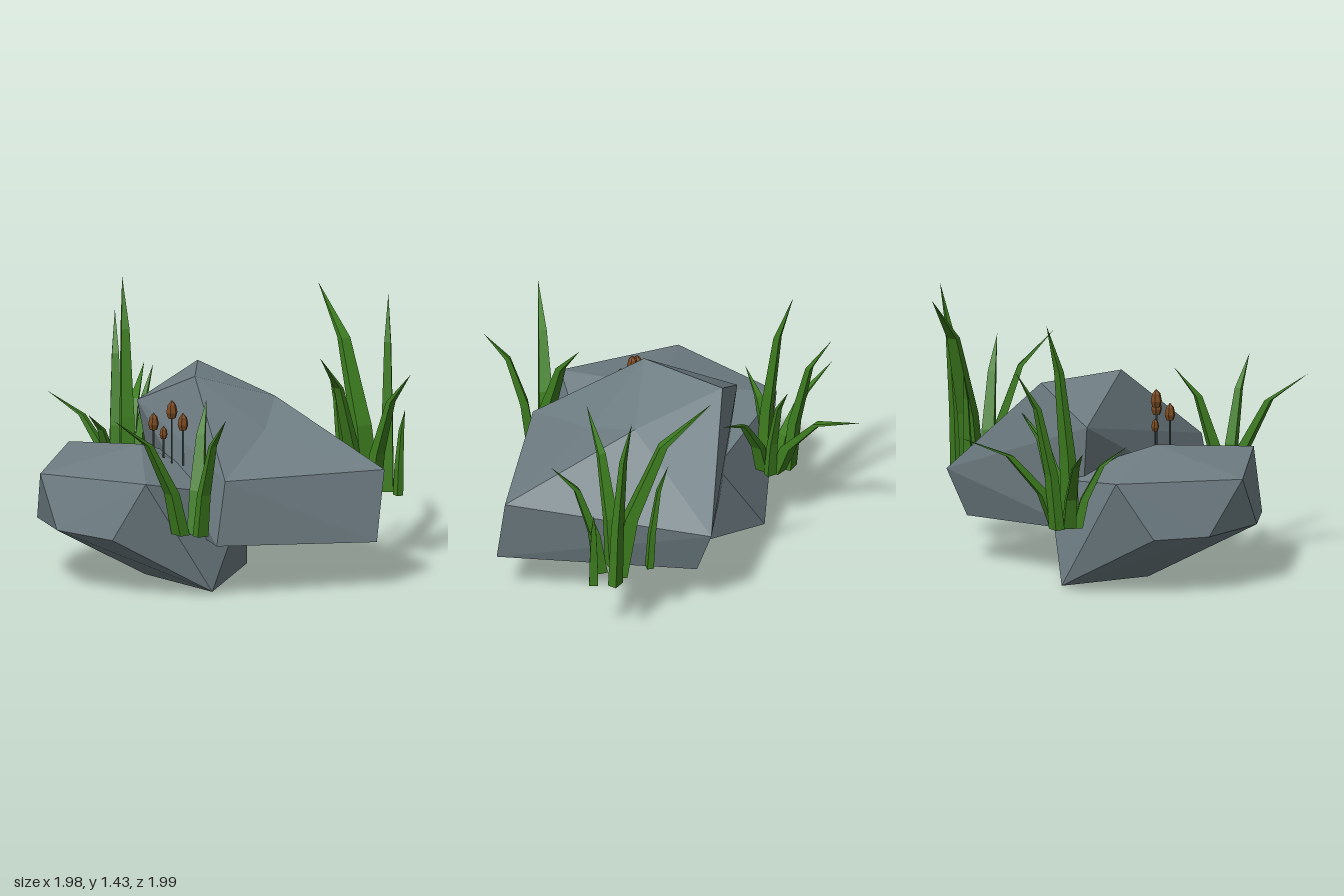
import * as THREE from 'three';
import { ConvexGeometry } from 'three/addons/geometries/ConvexGeometry.js';
import { mergeGeometries } from 'three/addons/utils/BufferGeometryUtils.js';

const flat = (name, color) => {
  const m = new THREE.MeshStandardMaterial({ color, flatShading: true });
  m.name = name;
  return m;
};

export function createModel() {
  const model = new THREE.Group();
  model.name = 'rocksWithReeds';
  const stone = flat('stone grey', 0x6f7e84);
  const green = flat('grass green', 0x3d7d1f);
  const brown = flat('reed brown', 0x7a4a20);
  const stalk = flat('stalk grey green', 0x4a5652);

  const add = (parent, name, geometry, material) => {
    const mesh = new THREE.Mesh(geometry, material);
    mesh.name = name;
    parent.add(mesh);
    return mesh;
  };

  // A boulder part is the convex hull of its corner points
  const hull = points => new ConvexGeometry(points.map(p => new THREE.Vector3(...p)));

  add(model, 'lowBoulder', hull([
    [-0.33, 0.70, 0.16], [-0.81, 0.61, -0.19], [-0.78, 0.59, 0.50], [-0.15, 0.62, 0.735],
    [-0.18, 0.52, -0.38], [0.23, 0.45, 0.14],
    [-0.86, 0.31, 0.00], [-0.85, 0.31, 0.30], [-0.66, 0.32, 0.61], [-0.33, 0.31, 0.73],
    [-0.51, 0.02, -0.40], [0.15, 0.02, -0.18], [0.15, 0.02, 0.52], [-0.32, 0, 0.12],
  ]), stone);

  // The high boulder is two hulls meeting at a dent in its front slope
  const apex = [-0.07, 1.05, 0.045], ridge = [0.285, 0.905, -0.24], dent = [0.31, 0.79, 0.06];
  const right = [0.95, 0.615, 0.05], front = [0.23, 0.62, 0.56], back = [0.285, 0.50, -0.80];
  const feet = [[0.93, 0.245, 0.13], [0.20, 0.285, 0.615], [0.28, 0.245, -0.69], [-0.35, 0.27, -0.25]];
  add(model, 'highBoulder', mergeGeometries([
    hull([apex, ridge, dent, front, back, [-0.18, 1.03, -0.42], [-0.46, 0.84, -0.25], ...feet]),
    hull([ridge, dent, right, front, back, ...feet]),
  ]), stone);

  // A four-sided blade that rises, then bends outwards to a sharp tip
  const RISE = [0, 0.34, 0.76, 1], OUT = [0, 0.13, 0.48, 1], WIDTH = [0.95, 0.82, 0.5, 0];
  const blade = (parent, [bx, bz], [tx, ty, tz], width) => {
    const baseY = 0.35;
    const g = new THREE.CylinderGeometry(1, 1, 1, 4, 3);
    g.rotateY(Math.PI / 4);
    const dir = Math.atan2(tx - bx, tz - bz);
    const c = Math.cos(dir), s = Math.sin(dir), p = g.attributes.position;
    for (let i = 0; i < p.count; i++) {
      const k = Math.round((p.getY(i) + 0.5) * 3);
      const r = WIDTH[k] * width * 0.7;
      const u = p.getX(i) * r, v = p.getZ(i) * r * 0.75;
      p.setXYZ(i,
        bx + (tx - bx) * OUT[k] + u * c + v * s,
        baseY + (ty - baseY) * RISE[k],
        bz + (tz - bz) * OUT[k] - u * s + v * c);
    }
    add(parent, 'grassBlade', g, green);
  };

  // Tufts: each blade has a base (x, z), a tip and a width
  const tufts = {
    frontGrass: [
      [[0.02, 0.67], [-0.25, 1.01, 1.00], 0.085],
      [[0.13, 0.68], [0.31, 1.01, 0.84], 0.07],
      [[0.09, 0.62], [0.08, 1.01, 0.37], 0.09],
    ],
    backLeftGrass: [
      [[-0.62, -0.39], [-0.99, 0.82, -0.42], 0.07],
      [[-0.57, -0.44], [-0.62, 0.87, -0.99], 0.09],
      [[-0.52, -0.38], [-0.10, 0.86, -0.50], 0.07],
      [[-0.61, -0.34], [-0.68, 0.78, -0.09], 0.07],
      [[-0.54, -0.36], [-0.61, 1.43, -0.51], 0.085],
      [[-0.63, -0.46], [-0.70, 1.21, -0.70], 0.075],
      [[-0.51, -0.44], [-0.47, 0.95, -0.61], 0.055],
    ],
    backRightGrass: [
      [[0.70, -0.54], [0.35, 1.38, -0.86], 0.11],
      [[0.66, -0.46], [0.55, 1.14, -0.15], 0.08],
      [[0.79, -0.60], [0.77, 1.38, -0.70], 0.07],
      [[0.75, -0.45], [0.99, 1.04, -0.33], 0.08],
      [[0.87, -0.52], [0.90, 0.80, -0.55], 0.05],
      [[0.55, -0.61], [0.46, 0.96, -0.66], 0.05],
    ],
  };
  for (const [name, blades] of Object.entries(tufts)) {
    const tuft = new THREE.Group();
    tuft.name = name;
    model.add(tuft);
    blades.forEach(b => blade(tuft, ...b));
  }

  // Reeds: thin stalk with a pointed brown head; x, z, head bottom, head size
  const profile = [[0, 0], [0.2, 0.04], [0.3, 0.35], [0.22, 0.75], [0, 1]]
    .map(([r, y]) => new THREE.Vector2(r, y));
  const reeds = new THREE.Group();
  reeds.name = 'reeds';
  model.add(reeds);
  for (const [x, z, y, size] of [
    [-0.235, 0.26, 0.80, 0.095], [-0.15, 0.21, 0.855, 0.10],
    [-0.085, 0.23, 0.80, 0.095], [-0.20, 0.19, 0.74, 0.07],
  ]) {
    const head = add(reeds, 'reedHead', new THREE.LatheGeometry(profile, 6), brown);
    head.position.set(x, y, z);
    head.scale.setScalar(size);
    const foot = 0.62;
    const stem = add(reeds, 'reedStalk', new THREE.CylinderGeometry(0.005, 0.005, y - foot + 0.01, 5), stalk);
    stem.position.set(x, (y + foot) / 2, z);
  }
  return model;
}
